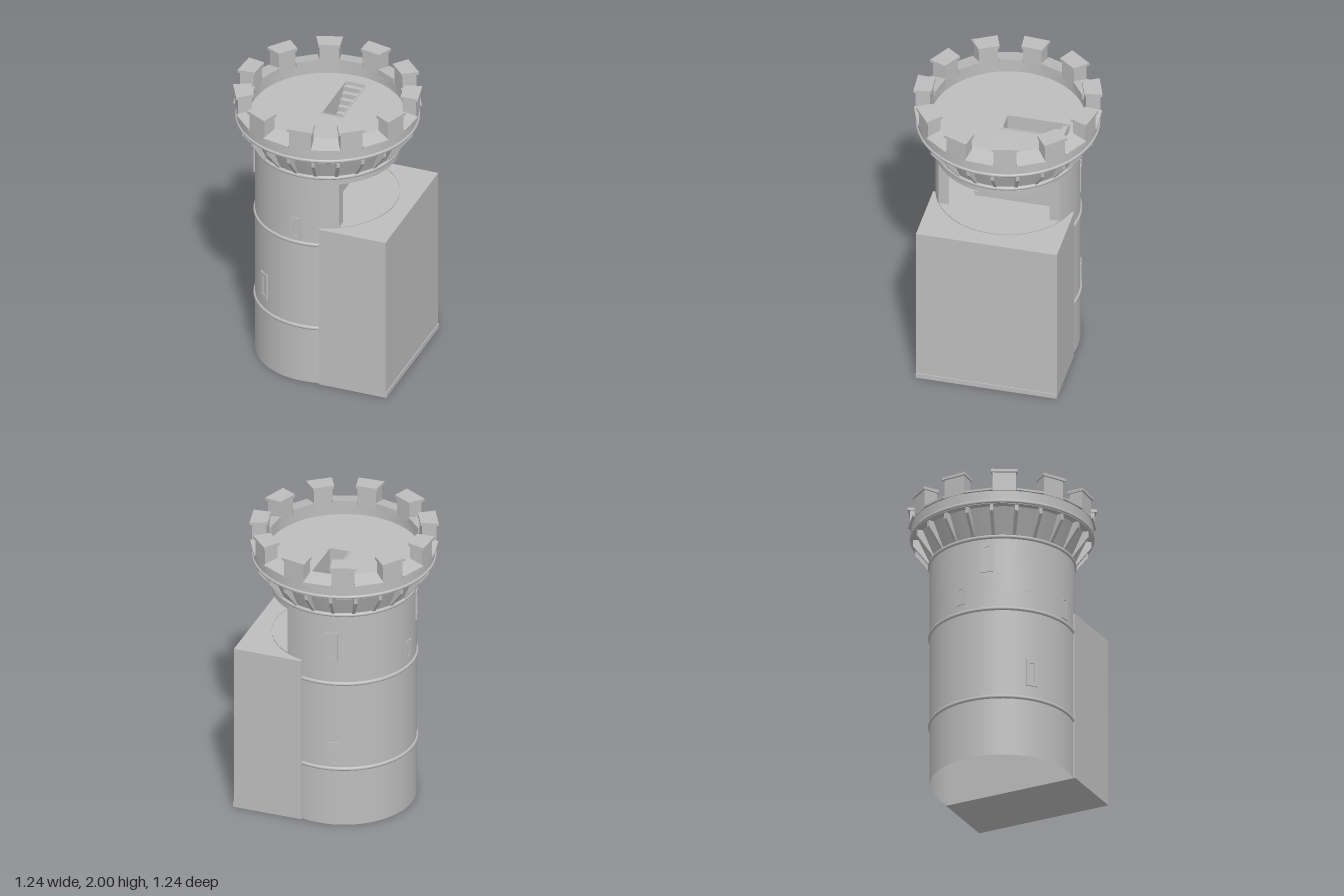
import * as THREE from 'three';
import { toCreasedNormals } from 'three/addons/utils/BufferGeometryUtils.js';

const stone = new THREE.MeshStandardMaterial({ color: 0xbdbdbd, side: THREE.DoubleSide });
stone.name = 'grey stone';

const SEG = 64;
const STEP = (Math.PI * 2) / 22; // one merlon or one gap
const FIRST = THREE.MathUtils.degToRad(3.75); // centre of the front merlon

export function createModel() {
  const tower = new THREE.Group();
  tower.name = 'tower';

  const add = (name, geometry, parent = tower) => {
    const mesh = new THREE.Mesh(geometry, stone);
    mesh.name = name;
    parent.add(mesh);
    return mesh;
  };
  const group = (name) => {
    const g = new THREE.Group();
    g.name = name;
    tower.add(g);
    return g;
  };
  const box = (x0, x1, y0, y1, z0, z1) =>
    new THREE.BoxGeometry(x1 - x0, y1 - y0, z1 - z0)
      .translate((x0 + x1) / 2, (y0 + y1) / 2, (z0 + z1) / 2);

  // plan shape (x, -z) raised from y0 to y1
  const raise = (shape, y0, y1) => {
    const g = new THREE.ExtrudeGeometry(shape, { depth: y1 - y0, bevelEnabled: false, curveSegments: SEG });
    return toCreasedNormals(g.rotateX(-Math.PI / 2).translate(0, y0, 0), 0.5);
  };
  // side profile (z, y) given a width along x
  const sideProfile = (points, x0, x1) => {
    const shape = new THREE.Shape(points.map(([z, y]) => new THREE.Vector2(z, y)));
    return new THREE.ExtrudeGeometry(shape, { depth: x1 - x0, bevelEnabled: false })
      .rotateY(-Math.PI / 2).translate(x1, 0, 0);
  };
  const rectPath = (target, x0, x1, y0, y1) => {
    target.moveTo(x0, y0).lineTo(x1, y0).lineTo(x1, y1).lineTo(x0, y1).closePath();
    return target;
  };
  const lathe = (points) =>
    toCreasedNormals(new THREE.LatheGeometry(points.map(([r, y]) => new THREE.Vector2(r, y)), SEG), 0.5);

  // block bent around the axis; its top may slope from inner to outer edge
  const ringBlock = (angle, width, r0, r1, y0, yIn, yOut) => {
    const g = new THREE.BoxGeometry(1, 1, 1);
    const p = g.attributes.position;
    for (let i = 0; i < p.count; i++) {
      const a = angle + p.getX(i) * width;
      const outer = p.getZ(i) > 0;
      const r = outer ? r1 : r0;
      const y = p.getY(i) < 0 ? y0 : outer ? yOut : yIn;
      p.setXYZ(i, r * Math.sin(a), y, r * Math.cos(a));
    }
    const flat = g.toNonIndexed();
    flat.computeVertexNormals();
    return flat;
  };

  // lower shell, open at the bottom
  add('lowerWall', new THREE.CylinderGeometry(0.475, 0.475, 1.19, SEG, 1, true).translate(0, 0.595, 0));
  add('roomFloor', new THREE.CylinderGeometry(0.47, 0.47, 0.01, SEG).translate(0, 1.183, 0));

  // upper wall, cut away above the side block
  const wall = new THREE.Shape();
  const aOut = Math.acos(0.24 / 0.475);
  const aIn = Math.acos(0.24 / 0.415);
  wall.absarc(0, 0, 0.475, aOut, Math.PI * 2 - aOut, false);
  wall.absarc(0, 0, 0.415, Math.PI * 2 - aIn, aIn, true);
  wall.closePath();
  add('upperWall', raise(wall, 1.19, 1.52));

  // side block with a thin foot
  add('sideBlock', box(0.12, 0.592, 0, 1.185, -0.475, 0.475));
  add('sideBlockFoot', box(0.58, 0.598, 0, 0.035, -0.475, 0.475));

  // round bands
  const bands = group('bands');
  for (const [r, y, t] of [[0.473, 0.418, 0.014], [0.473, 1.055, 0.014], [0.474, 1.572, 0.014], [0.594, 1.772, 0.013]])
    add('band', new THREE.TorusGeometry(r, t, 8, SEG).rotateX(Math.PI / 2).translate(0, y, 0), bands);

  // roof slabs pierced by the stairwell
  const disc = (r) => {
    const s = new THREE.Shape();
    s.absarc(0, 0, r, 0, Math.PI * 2, false);
    s.holes.push(rectPath(new THREE.Path(), -0.032, 0.102, -0.01, 0.42));
    return s;
  };
  add('ceilingSlab', raise(disc(0.475), 1.52, 1.58));
  add('roofCore', raise(disc(0.45), 1.58, 1.75));
  add('roofFloor', raise(disc(0.53), 1.75, 1.78));
  const rim = rectPath(new THREE.Shape(), -0.042, 0.11, -0.016, 0.4);
  rim.holes.push(rectPath(new THREE.Path(), -0.032, 0.102, -0.01, 0.394));
  add('stairwellRim', raise(rim, 1.775, 1.785));

  // solid flight of stairs
  const steps = 18;
  const flight = [[-0.4, 1.185], [0.2, 1.185]];
  for (let i = 0; i < steps; i++) {
    const y = 1.19 + ((i + 1) * 0.58) / steps;
    flight.push([0.2 - (i * 0.6) / steps, y], [0.2 - ((i + 1) * 0.6) / steps, y]);
  }
  add('stairs', sideProfile(flight, -0.03, 0.1));

  // flared corbel with brackets
  add('corbelCone', lathe([[0.468, 1.575], [0.55, 1.757]]));
  const brackets = group('brackets');
  const bracket = sideProfile(
    [[0.455, 1.583], [0.482, 1.583], [0.585, 1.715], [0.585, 1.76], [0.455, 1.76]], -0.011, 0.011);
  for (let i = 0; i < 22; i++)
    add('bracket', bracket, brackets).rotation.y = FIRST + (i + 0.5) * STEP;

  // parapet ring, sloping sills and capped merlons
  add('parapet', lathe([[0.5, 1.757], [0.597, 1.757], [0.597, 1.86], [0.51, 1.86], [0.51, 1.775]]));
  const battlements = group('battlements');
  for (let i = 0; i < 11; i++) {
    const a = FIRST + 2 * i * STEP;
    add('merlon', ringBlock(a, STEP * 0.88, 0.51, 0.605, 1.85, 1.985, 1.985), battlements);
    add('merlonCap', ringBlock(a, STEP, 0.5, 0.62, 1.978, 2, 1.997), battlements);
    add('sill', ringBlock(a + STEP, STEP * 1.1, 0.5, 0.617, 1.848, 1.888, 1.862), battlements);
  }

  // framed slit windows: azimuth from the front, centre height, width, height
  const windows = group('windows');
  const slits = [
    [-39, 0.605, 0.08, 0.19], [-4.5, 1.16, 0.065, 0.16], [191, 1.33, 0.08, 0.21],
    [193, 0.53, 0.075, 0.17], [262, 1.18, 0.065, 0.13], [285, 1.425, 0.08, 0.21],
  ];
  for (const [deg, y, w, h] of slits) {
    const frame = rectPath(new THREE.Shape(), -w / 2, w / 2, -h / 2, h / 2);
    frame.holes.push(rectPath(new THREE.Path(), -w * 0.2, w * 0.2, -h * 0.36, h * 0.36));
    const g = new THREE.ExtrudeGeometry(frame, { depth: 0.02, bevelEnabled: false });
    const mesh = add('windowFrame', g.translate(0, y, 0.462), windows);
    mesh.rotation.y = THREE.MathUtils.degToRad(deg);
  }

  return tower;
}
